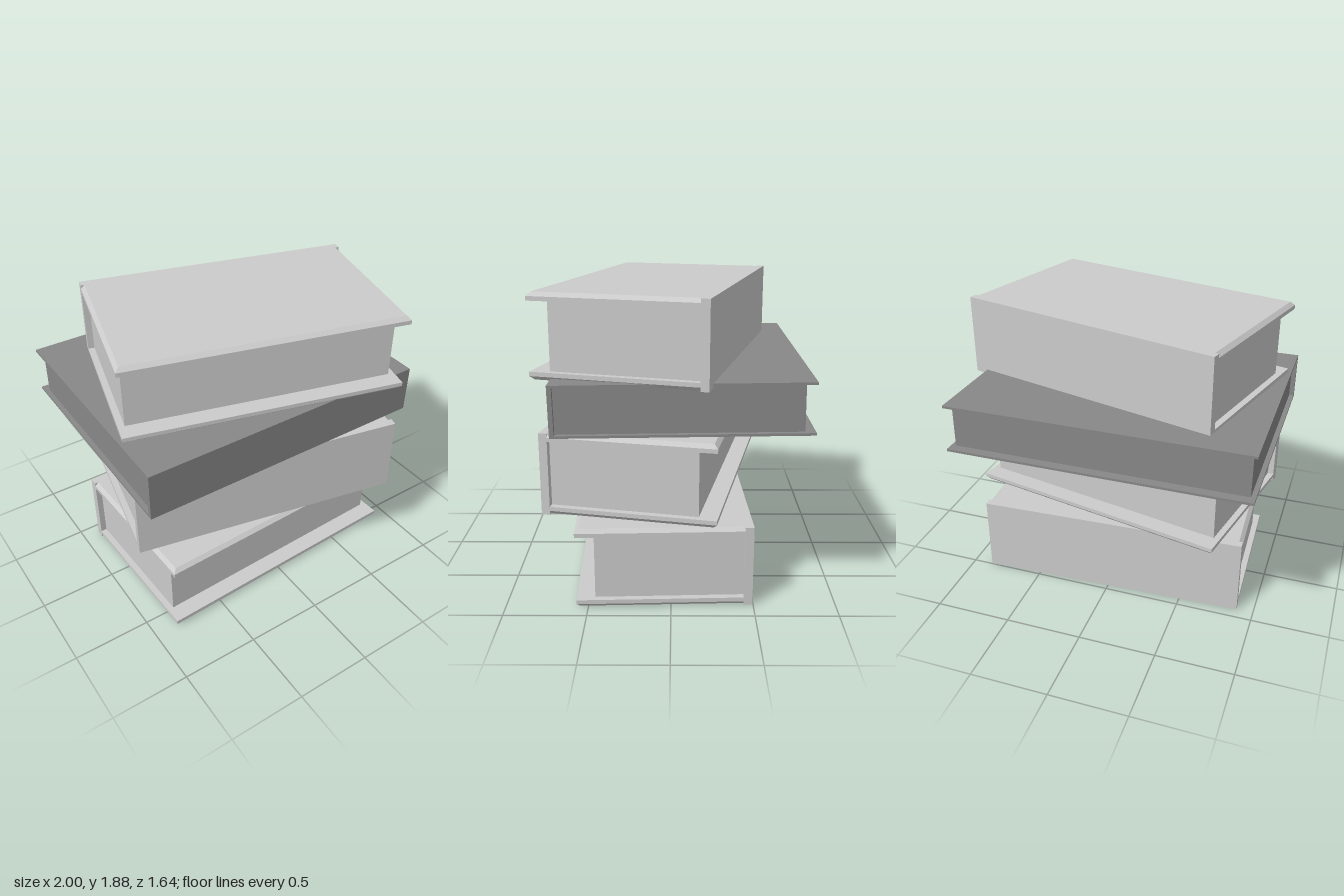
import * as THREE from 'three';
import { ConvexGeometry } from 'three/addons/geometries/ConvexGeometry.js';

// Four corners of a rectangle at height y
const rect = (x, zBack, zFore, y) =>
  [[-x, zBack], [x, zBack], [x, zFore], [-x, zFore]].map(([px, pz]) => new THREE.Vector3(px, y, pz));

// Board whose outer edges are chamfered along the fore edge and both ends
function boardGeometry(length, zBack, zFore, yInner, yOuter, bevel) {
  const x = length / 2;
  const yMid = yOuter - Math.sign(yOuter - yInner) * bevel;
  return new ConvexGeometry([
    ...rect(x, zBack, zFore, yInner),
    ...rect(x, zBack, zFore, yMid),
    ...rect(x - bevel, zBack, zFore - bevel, yOuter),
  ]);
}

// Hardback book standing on its own base, spine toward -z
function makeBook({ name, length, width, height, board, spine, bevel, endInset, foreInset, color }) {
  const book = new THREE.Group();
  book.name = name;
  const material = new THREE.MeshStandardMaterial({ color, flatShading: true });
  const add = (part, geometry, y = 0, z = 0) => {
    const mesh = new THREE.Mesh(geometry, material);
    mesh.name = part;
    mesh.position.set(0, y, z);
    book.add(mesh);
  };
  const back = -width / 2, fore = width / 2, inner = back + spine;

  add('spine', new THREE.BoxGeometry(length, height, spine), height / 2, back + spine / 2);

  const cover = (outer, inside) => bevel > 0
    ? boardGeometry(length, inner, fore, inside, outer, bevel)
    : new THREE.BoxGeometry(length, board, fore - inner)
      .translate(0, (outer + inside) / 2, (inner + fore) / 2);
  add('lowerCover', cover(0, board));
  add('upperCover', cover(height, height - board));

  const depth = fore - foreInset - inner;
  add('pages', new THREE.BoxGeometry(length - 2 * endInset, height - 2 * board, depth),
    height / 2, inner + depth / 2);
  return book;
}

export function createModel() {
  const model = new THREE.Group();
  model.name = 'bookStack';

  const thick = {
    length: 1.76, width: 1.067, height: 0.51, board: 0.05, spine: 0.052,
    bevel: 0.024, endInset: 0.04, foreInset: 0.113, color: 0xcccccc,
  };
  const thin = {
    length: 1.91, width: 1.515, height: 0.31, board: 0.015, spine: 0.027,
    bevel: 0, endInset: 0.03, foreInset: 0.06, color: 0x888888,
  };

  // Stack from the bottom up: size, base position, yaw, tilt
  const stack = [
    ['bottomBook', thick, [0.01, 0, 0.073], 0.04, 0],
    ['secondBook', thick, [0.01, 0.55, 0.075], Math.PI - 0.208, 0],
    ['darkBook', thin, [-0.045, 1.085, -0.067], Math.PI, 0.0145],
    ['topBook', thick, [0.01, 1.37, 0.075], -0.263, 0],
  ];
  for (const [name, size, position, yaw, tilt] of stack) {
    const book = makeBook({ name, ...size });
    book.position.set(...position);
    book.rotation.set(tilt, yaw, 0);
    model.add(book);
  }
  return model;
}
